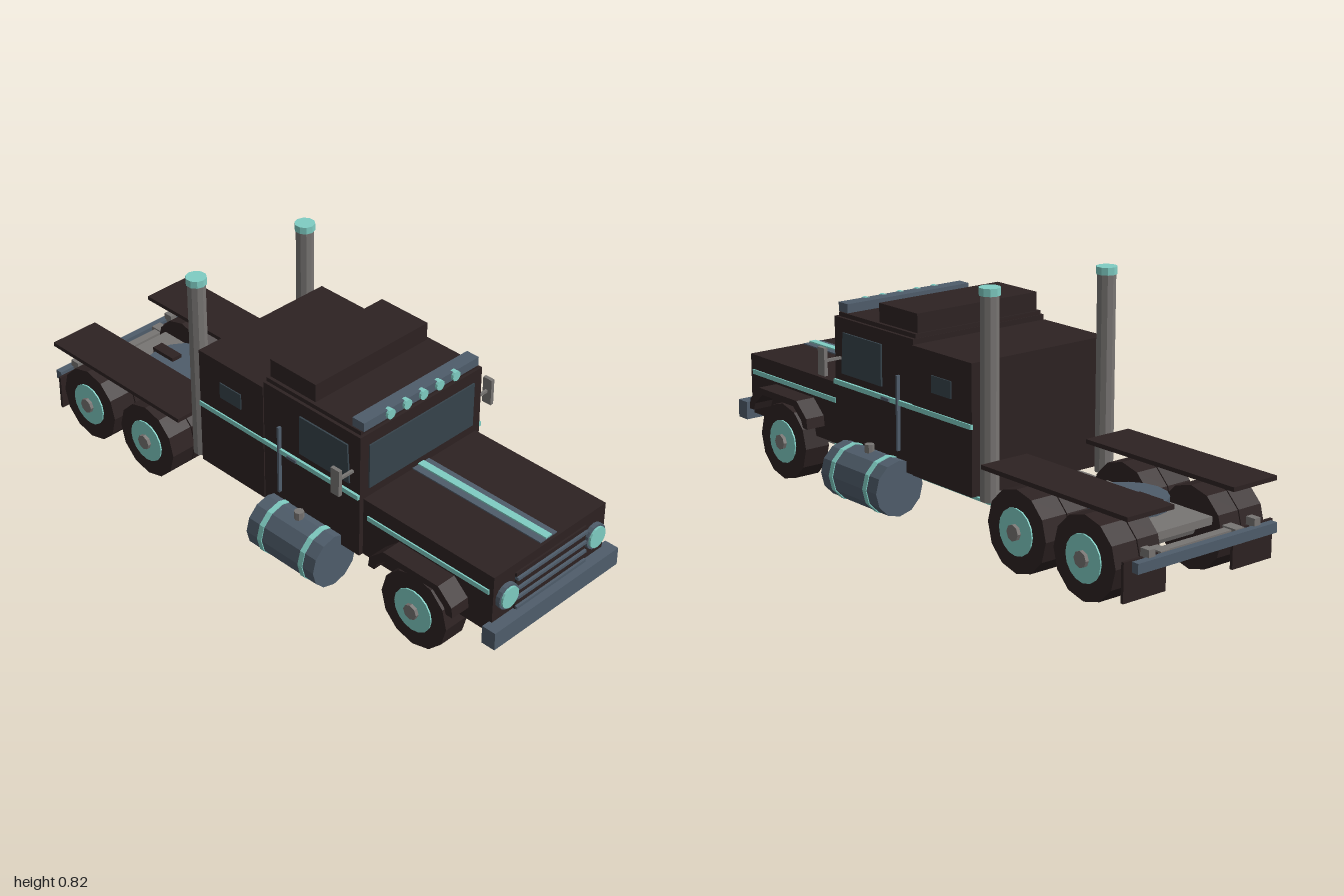
import * as THREE from 'three';

export function createModel() {
  const truck = new THREE.Group();
  truck.name = 'truck';
  const mat = (name, color) => {
    const m = new THREE.MeshStandardMaterial({ color, flatShading: true });
    m.name = name;
    return m;
  };
  const dark = mat('dark brown', 0x2d2222);
  const steel = mat('steel blue', 0x4f5d6b);
  const teal = mat('teal', 0x7fcdc3);
  const grey = mat('grey metal', 0x787573);
  const glass = mat('dark glass', 0x36434b);

  const add = (name, geo, material, x = 0, y = 0, z = 0) => {
    const mesh = new THREE.Mesh(geo, material);
    mesh.name = name;
    mesh.position.set(x, y, z);
    truck.add(mesh);
    return mesh;
  };
  // Box given by its limits on each axis
  const box = (name, material, x0, x1, y0, y1, z0, z1) =>
    add(name, new THREE.BoxGeometry(Math.abs(x1 - x0), y1 - y0, z1 - z0), material,
      (x0 + x1) / 2, (y0 + y1) / 2, (z0 + z1) / 2);
  // Cylinder lying along x, y or z
  const cyl = (name, material, axis, r, len, sides, x, y, z) => {
    const g = new THREE.CylinderGeometry(r, r, len, sides);
    if (axis === 'x') g.rotateZ(Math.PI / 2);
    if (axis === 'z') g.rotateX(Math.PI / 2);
    return add(name, g, material, x, y, z);
  };

  // Hood, cab and sleeper
  box('hood', dark, -0.25, 0.25, 0.17, 0.378, 0.43, 0.96);
  box('hoodStripeWide', steel, -0.037, 0.037, 0.376, 0.382, 0.44, 0.95);
  box('hoodStripe', teal, -0.013, 0.013, 0.38, 0.387, 0.44, 0.95);
  box('cab', dark, -0.266, 0.266, 0.17, 0.608, 0.028, 0.44);
  box('cabRoof', dark, -0.255, 0.255, 0.6, 0.622, 0.03, 0.43);
  box('sleeper', dark, -0.27, 0.27, 0.17, 0.59, -0.262, 0.028);
  box('roofBox', dark, -0.243, 0.243, 0.61, 0.684, 0.035, 0.23);
  box('windshield', glass, -0.23, 0.23, 0.41, 0.567, 0.438, 0.445);

  // Visor with marker lamps
  box('visor', steel, -0.25, 0.25, 0.622, 0.652, 0.39, 0.438);
  for (let i = -2; i <= 2; i++) cyl('markerLamp', teal, 'z', 0.017, 0.02, 12, i * 0.071, 0.637, 0.437);

  // Grille and bumpers
  box('grille', dark, -0.157, 0.157, 0.21, 0.345, 0.95, 0.966);
  for (const y of [0.219, 0.255, 0.289, 0.326])
    box('grilleBar', steel, -0.157, 0.157, y - 0.005, y + 0.005, 0.955, 0.974);
  box('frontBumper', steel, -0.28, 0.28, 0.15, 0.212, 0.95, 1);
  box('rearBumper', steel, -0.28, 0.28, 0.135, 0.167, -1, -0.975);

  // Chassis cross members and coupling
  box('frontCrossMember', grey, -0.14, 0.14, 0.122, 0.15, 0.88, 0.92);
  box('rearCrossMember', grey, -0.14, 0.14, 0.13, 0.165, -0.96, -0.93);
  box('couplingPlate', grey, -0.125, 0.125, 0.165, 0.19, -0.89, -0.44);
  cyl('couplingDisc', steel, 'y', 0.125, 0.035, 16, 0, 0.207, -0.66);
  box('couplingLatch', dark, -0.02, 0.02, 0.215, 0.238, -0.79, -0.69);
  for (const z of [0.7, -0.505, -0.8]) cyl('axle', grey, 'x', 0.022, 0.42, 8, 0, 0.133, z);

  // Arch over each front wheel
  const arch = new THREE.Shape([
    [-0.17, 0.215], [-0.165, 0.25], [-0.11, 0.3], [0.11, 0.3], [0.165, 0.25], [0.17, 0.215],
    [0.145, 0.215], [0.135, 0.24], [0.09, 0.278], [-0.09, 0.278], [-0.135, 0.24], [-0.145, 0.215],
  ].map(([a, b]) => new THREE.Vector2(a, b)));
  const archGeo = new THREE.ExtrudeGeometry(arch, { depth: 0.12, bevelEnabled: false });
  archGeo.translate(0, 0, -0.06);
  archGeo.rotateY(Math.PI / 2);

  const wheel = (s, z, inner, rimInner) => {
    const y = 0.133;
    const tyre = (a, b) => cyl('tyre', dark, 'x', 0.131, b - a, 12, s * (a + b) / 2, y, z).rotateX(0);
    tyre(0.207, 0.3);
    if (inner < 0.2) tyre(inner, 0.203);
    cyl('rim', teal, 'x', 0.074, 0.305 - rimInner, 16, s * (0.305 + rimInner) / 2, y, z);
    cyl('hub', grey, 'x', 0.026, 0.04, 8, s * 0.297, y, z);
  };

  for (const s of [1, -1]) {
    // Wheels, arches, rear boards and flaps
    wheel(s, 0.7, 0.207, 0.203);
    wheel(s, -0.505, 0.122, 0.2);
    wheel(s, -0.8, 0.122, 0.2);
    add('frontFender', archGeo, dark, s * 0.26, 0, 0.7);
    box('rearFender', dark, s * 0.12, s * 0.3, 0.286, 0.3, -0.975, -0.342);
    box('mudFlap', dark, s * 0.135, s * 0.3, 0.042, 0.165, -0.963, -0.953);
    box('flapBracket', grey, s * 0.2, s * 0.225, 0.14, 0.19, -0.985, -0.95);

    // Frame rails
    box('frameRail', grey, s * 0.131, s * 0.168, 0.122, 0.17, -0.975, 0.95);
    box('railTrim', teal, s * 0.166, s * 0.177, 0.12, 0.13, -0.38, 0.58);

    // Headlamps
    cyl('headlampRing', steel, 'z', 0.043, 0.03, 16, s * 0.197, 0.288, 0.96);
    cyl('headlamp', teal, 'z', 0.036, 0.03, 16, s * 0.197, 0.288, 0.967);

    // Side windows, trim and door fittings
    const win = new THREE.Shape([[-0.188, 0.425], [-0.4, 0.425], [-0.39, 0.562], [-0.188, 0.562]]
      .map(([a, b]) => new THREE.Vector2(a, b)));
    const winGeo = new THREE.ExtrudeGeometry(win, { depth: 0.009, bevelEnabled: false });
    winGeo.rotateY(Math.PI / 2);
    add('sideWindow', winGeo, glass, s > 0 ? 0.263 : -0.272);
    box('sleeperWindow', glass, s * 0.266, s * 0.274, 0.46, 0.515, -0.165, -0.07);
    box('cabStripe', teal, s * 0.266, s * 0.275, 0.384, 0.4, -0.262, 0.44);
    box('hoodSideStripe', teal, s * 0.247, s * 0.255, 0.31, 0.326, 0.46, 0.945);
    box('doorHandle', steel, s * 0.266, s * 0.28, 0.386, 0.396, 0.14, 0.18);
    box('grabRail', steel, s * 0.266, s * 0.278, 0.235, 0.48, 0.096, 0.104);

    // Mirrors
    box('mirrorArm', grey, s * 0.26, s * 0.335, 0.47, 0.479, 0.405, 0.414);
    box('mirror', grey, s * 0.33, s * 0.343, 0.428, 0.52, 0.393, 0.428);

    // Exhaust stacks
    cyl('exhaustStack', grey, 'y', 0.03, 0.64, 10, s * 0.234, 0.485, -0.303);
    cyl('exhaustCap', teal, 'y', 0.034, 0.024, 10, s * 0.234, 0.813, -0.303);

    // Fuel tanks with bands
    cyl('fuelTank', steel, 'z', 0.092, 0.295, 12, s * 0.294, 0.122, 0.215);
    for (const z of [0.127, 0.307]) cyl('tankBand', teal, 'z', 0.095, 0.019, 12, s * 0.294, 0.122, z);
    cyl('tankCap', grey, 'y', 0.016, 0.03, 8, s * 0.3, 0.221, 0.215);
  }
  return truck;
}
